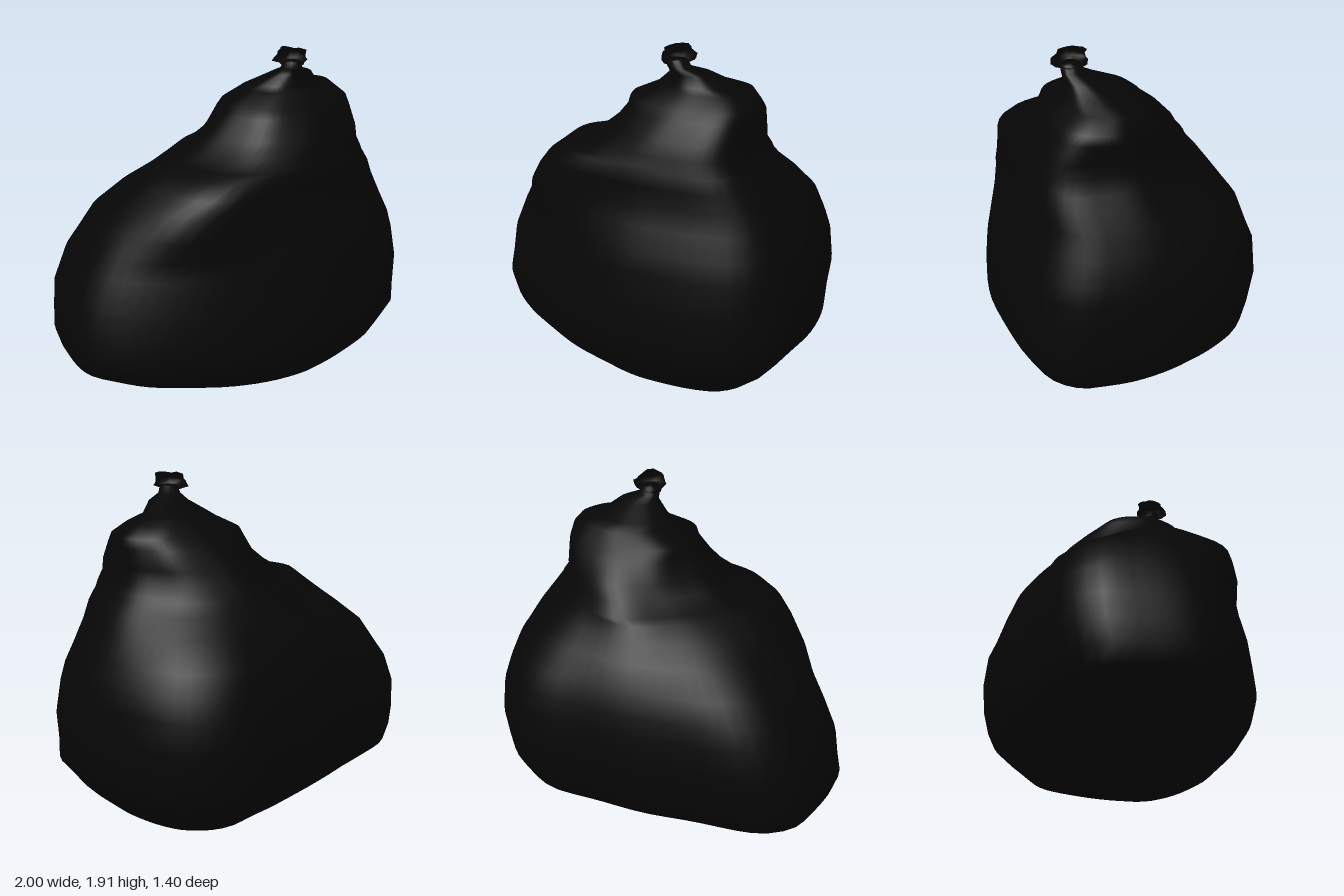
import * as THREE from 'three';

const SEG = 64;

// Plan outline of the sack: x, z
const OUTLINE = [
  [-1, 0], [-0.96, -0.27], [-0.91, -0.43], [-0.82, -0.52], [-0.7, -0.58], [-0.35, -0.63], [-0.05, -0.68],
  [0.25, -0.69], [0.53, -0.7], [0.66, -0.66], [0.78, -0.58], [0.88, -0.46], [0.96, -0.25], [1, 0.05],
  [0.98, 0.28], [0.95, 0.42], [0.82, 0.57], [0.6, 0.65], [0.33, 0.69], [0.1, 0.7],
  [-0.22, 0.64], [-0.55, 0.5], [-0.83, 0.3], [-0.97, 0.12],
];

// Extents of the sack at each height: y, xMin, xMax, zMin, zMax
const LEVELS = [
  [0, -0.1, 0.2, -0.19, 0.17],
  [0.03, -0.36, 0.5, -0.32, 0.37],
  [0.1, -0.56, 0.74, -0.42, 0.52],
  [0.2, -0.82, 0.85, -0.54, 0.62],
  [0.28, -0.97, 0.91, -0.63, 0.665],
  [0.38, -1, 0.985, -0.66, 0.7],
  [0.5, -0.98, 0.985, -0.69, 0.7],
  [0.65, -0.96, 1, -0.7, 0.69],
  [0.82, -0.885, 0.98, -0.685, 0.665],
  [0.92, -0.825, 0.955, -0.65, 0.645],
  [1.04, -0.75, 0.905, -0.62, 0.6],
  [1.16, -0.635, 0.84, -0.53, 0.56],
  [1.25, -0.55, 0.78, -0.45, 0.565],
  [1.32, -0.46, 0.73, -0.41, 0.545],
  [1.34, -0.35, 0.72, -0.395, 0.535],
  [1.4, -0.25, 0.68, -0.345, 0.515],
  [1.47, -0.16, 0.68, -0.3, 0.49],
  [1.57, -0.07, 0.68, -0.21, 0.43],
  [1.62, -0.05, 0.675, -0.14, 0.4],
  [1.68, 0.08, 0.62, -0.09, 0.32],
  [1.71, 0.12, 0.5, -0.02, 0.3],
  [1.77, 0.2, 0.42, 0.1, 0.3],
  [1.8, 0.21, 0.33, 0.18, 0.3],
  [1.84, 0.22, 0.31, 0.2, 0.3],
];

// Bulge (+) or dent (-) of the four corners: y, front left, front right, back right, back left
const CORNERS = [
  [0.88, 0, -0.02, 0, 0],
  [1.04, 0.03, 0.11, -0.01, 0.01],
  [1.18, 0.07, 0.18, -0.04, -0.02],
  [1.3, 0.1, 0.14, -0.15, -0.07],
  [1.42, 0.13, 0.01, -0.19, -0.06],
  [1.52, 0.13, 0.03, -0.06, 0],
  [1.62, 0.08, 0.06, 0.05, 0],
  [1.7, 0, 0, 0, 0],
];

function cornerBulge(y, quadrant) {
  const last = CORNERS.length - 1;
  if (y <= CORNERS[0][0] || y >= CORNERS[last][0]) return 0;
  const k = CORNERS.findIndex((row) => row[0] > y);
  const lo = CORNERS[k - 1], hi = CORNERS[k];
  return THREE.MathUtils.mapLinear(y, lo[0], hi[0], lo[quadrant + 1], hi[quadrant + 1]);
}

// Joins rings of equal length, listed from bottom to top, and closes both ends
function loft(rings) {
  const pos = [], index = [], n = rings[0].length;
  rings.forEach((ring) => ring.forEach((p) => pos.push(p.x, p.y, p.z)));
  for (let r = 0; r < rings.length - 1; r++) {
    for (let i = 0; i < n; i++) {
      const j = (i + 1) % n, a = r * n, b = a + n;
      index.push(a + i, b + i, a + j, a + j, b + i, b + j);
    }
  }
  [0, rings.length - 1].forEach((r) => {
    const c = new THREE.Vector3();
    rings[r].forEach((p) => c.addScaledVector(p, 1 / n));
    const center = pos.length / 3;
    pos.push(c.x, c.y, c.z);
    for (let i = 0; i < n; i++) {
      const a = r * n + i, b = r * n + ((i + 1) % n);
      if (r === 0) index.push(center, a, b);
      else index.push(center, b, a);
    }
  });
  const geometry = new THREE.BufferGeometry();
  geometry.setAttribute('position', new THREE.Float32BufferAttribute(pos, 3));
  geometry.setIndex(index);
  geometry.computeVertexNormals();
  return geometry;
}

function sackGeometry() {
  const curve = new THREE.CatmullRomCurve3(
    OUTLINE.map(([x, z]) => new THREE.Vector3(x, 0, z / 0.7)), true, 'centripetal');
  const unit = curve.getSpacedPoints(SEG).slice(0, SEG);
  return loft(LEVELS.map(([y, x0, x1, z0, z1]) => {
    // the plan becomes an oval towards the gathered top
    const oval = THREE.MathUtils.smoothstep(y, 0.7, 1.6);
    const gather = THREE.MathUtils.smoothstep(y, 0.9, 1.5);
    return unit.map((p) => {
      const a = (Math.atan2(p.z, p.x) + Math.PI * 2) % (Math.PI * 2);
      const quadrant = Math.min(3, Math.floor(a / (Math.PI / 2)));
      // pouches at the corners, and shallow folds running down from the knot
      const bulge = 1 + cornerBulge(y, quadrant) * Math.sin(2 * a) ** 2;
      const fold = 1 - 0.012 * gather * (1 - Math.cos(8 * a));
      const x = THREE.MathUtils.lerp(p.x, Math.cos(a), oval) * bulge * fold;
      const z = THREE.MathUtils.lerp(p.z, Math.sin(a), oval) * bulge * fold;
      return new THREE.Vector3((x0 + x1) / 2 + x * (x1 - x0) / 2, y, (z0 + z1) / 2 + z * (z1 - z0) / 2);
    });
  }));
}

// Crumpled tie: radius, height pairs with an uneven rim
function knotGeometry() {
  const profile = [[0.045, -0.05], [0.055, -0.03], [0.088, -0.015], [0.085, 0.01], [0.07, 0.025], [0.07, 0.045], [0.04, 0.05]];
  return loft(profile.map(([r, y], k) => Array.from({ length: 14 }, (_, i) => {
    const a = (-i / 14) * Math.PI * 2;
    const s = r * (1 + 0.12 * Math.sin(3 * a + k) + 0.07 * Math.cos(5 * a - k));
    return new THREE.Vector3(Math.cos(a) * s, y + 0.008 * Math.sin(2 * a + k), Math.sin(a) * s);
  })));
}

export function createModel() {
  const model = new THREE.Group();
  model.name = 'tiedSack';
  const plastic = new THREE.MeshStandardMaterial({ color: 0x060606 });
  plastic.name = 'blackPlastic';

  const sack = new THREE.Mesh(sackGeometry(), plastic);
  sack.name = 'sack';
  const knot = new THREE.Mesh(knotGeometry(), plastic);
  knot.name = 'knot';
  knot.position.set(0.26, 1.855, 0.245);

  model.add(sack, knot);
  return model;
}
